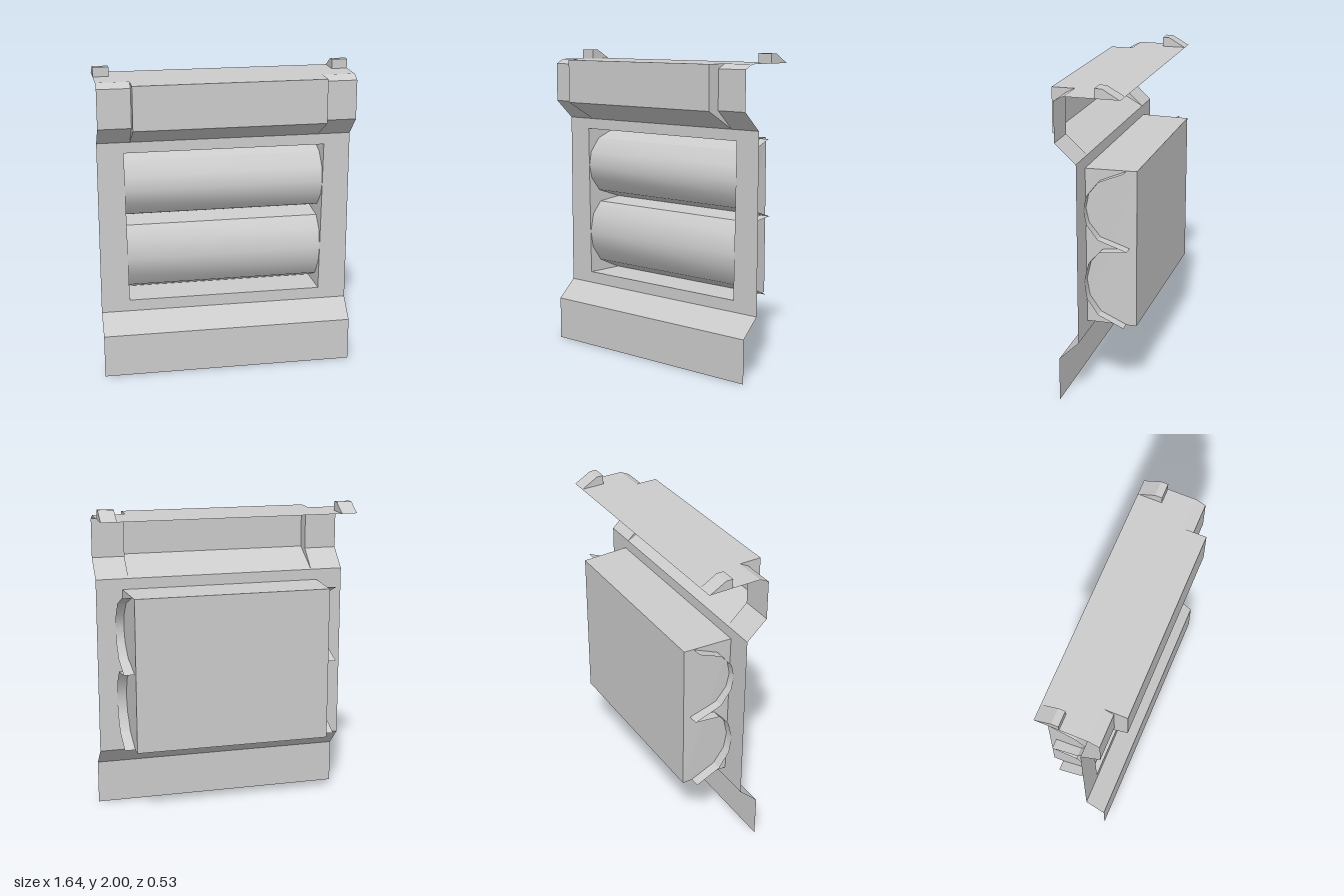
import * as THREE from 'three';

const sheet = new THREE.MeshStandardMaterial({ color: 0xcccccc, side: THREE.DoubleSide });
const flatSheet = new THREE.MeshStandardMaterial({ color: 0xcccccc, side: THREE.DoubleSide, flatShading: true });

// Sheet swept along x from a [z, y] profile listed from top to bottom on the front
function strip(name, profile, x0, x1, material = flatSheet) {
  const position = [], index = [];
  for (const [z, y] of profile) position.push(x0, y, z, x1, y, z);
  for (let i = 0; i < profile.length - 1; i++) {
    const a = i * 2;
    index.push(a, a + 2, a + 3, a, a + 3, a + 1);
  }
  const geometry = new THREE.BufferGeometry();
  geometry.setAttribute('position', new THREE.Float32BufferAttribute(position, 3));
  geometry.setIndex(index);
  geometry.computeVertexNormals();
  return named(name, geometry, material);
}

function named(name, geometry, material = flatSheet) {
  const mesh = new THREE.Mesh(geometry, material);
  mesh.name = name;
  return mesh;
}

const outline = (points) => new THREE.Shape(points.map(([x, y]) => new THREE.Vector2(x, y)));

// Outline in [z, y], turned to face along x
function sideShape(points, x) {
  return new THREE.ShapeGeometry(outline(points)).rotateY(-Math.PI / 2).translate(x, 0, 0);
}

export function createModel() {
  const model = new THREE.Group();
  const W = 0.82, C = 0.61, Z = 0.05, BACK = -0.265;

  // Flat face panel with the window cut out
  const opening = [[-0.635, 0.475], [0.635, 0.475], [0.65, 1.47], [-0.65, 1.47]];
  const face = outline([[-W, 0.4], [W, 0.4], [W, 1.54], [-W, 1.54]]);
  face.holes.push(new THREE.Path(outline(opening).getPoints()));
  model.add(named('facePanel', new THREE.ShapeGeometry(face).translate(0, 0, Z)));

  // Lower skirt
  model.add(strip('skirt', [[Z, 0.4], [0.175, 0.28], [0.175, 0]], -W, W));

  // Upper hood: wide raised middle and lower shoulders
  const shoulder = [[-0.22, 1.94], [0.12, 1.94], [0.18, 1.91], [0.18, 1.66], [Z, 1.54]];
  const middle = [[-0.22, 1.94], [0.265, 1.94], [0.265, 1.66], [Z, 1.54]];
  model.add(strip('hoodMiddle', middle, -C, C));
  const cheek = [...middle.slice(1), ...shoulder.slice(1, 4).reverse()];
  for (const [side, s] of [['left', 1], ['right', -1]]) {
    model.add(strip(side + 'HoodShoulder', shoulder, s > 0 ? C : -W, s > 0 ? W : -C));
    model.add(named(side + 'HoodCheek', sideShape(cheek, s * C)));

    // Wedge tab on the rear corner of the hood
    const tab = new THREE.ExtrudeGeometry(
      outline([[-0.065, 1.94], [-0.065, 2], [-0.11, 2], [-0.215, 1.94]]),
      { depth: 0.1, bevelEnabled: false });
    tab.rotateY(-Math.PI / 2).translate(s > 0 ? W : -W + 0.1, 0, 0);
    model.add(named(side + 'Tab', tab));
  }

  // Box behind the window, open to the front and slightly tapered
  const box = new THREE.BufferGeometry();
  const corners = [
    ...opening.flatMap(([x, y]) => [x, y, Z]),
    ...opening.flatMap(([x, y]) => [Math.sign(x) * 0.632, y, BACK]),
  ];
  const walls = [4, 5, 6, 4, 6, 7];
  for (let i = 0; i < 4; i++) {
    const j = (i + 1) % 4;
    walls.push(i, j, j + 4, i, j + 4, i + 4);
  }
  box.setAttribute('position', new THREE.Float32BufferAttribute(corners, 3));
  box.setIndex(walls);
  box.computeVertexNormals();
  model.add(named('rearBox', box));

  // Two bulging drums: hard lips above and below a smooth lobe
  const drums = {
    upperDrum: [[-0.2, 1.467], [-0.04, 1.4], [0.03, 1.31], [0.048, 1.22], [0.03, 1.13], [-0.04, 1.04], [-0.22, 0.98]],
    lowerDrum: [[-0.22, 0.98], [-0.05, 0.96], [0.02, 0.88], [0.048, 0.76], [0.03, 0.65], [-0.04, 0.55], [-0.2, 0.478]],
  };
  for (const [name, profile] of Object.entries(drums)) {
    const drum = new THREE.Group();
    drum.name = name;
    drum.add(
      strip('topLip', profile.slice(0, 2), -0.7, 0.7),
      strip('lobe', profile.slice(1, -1), -0.7, 0.7, sheet),
      strip('bottomLip', profile.slice(-2), -0.7, 0.7));
    model.add(drum);
  }
  return model;
}
